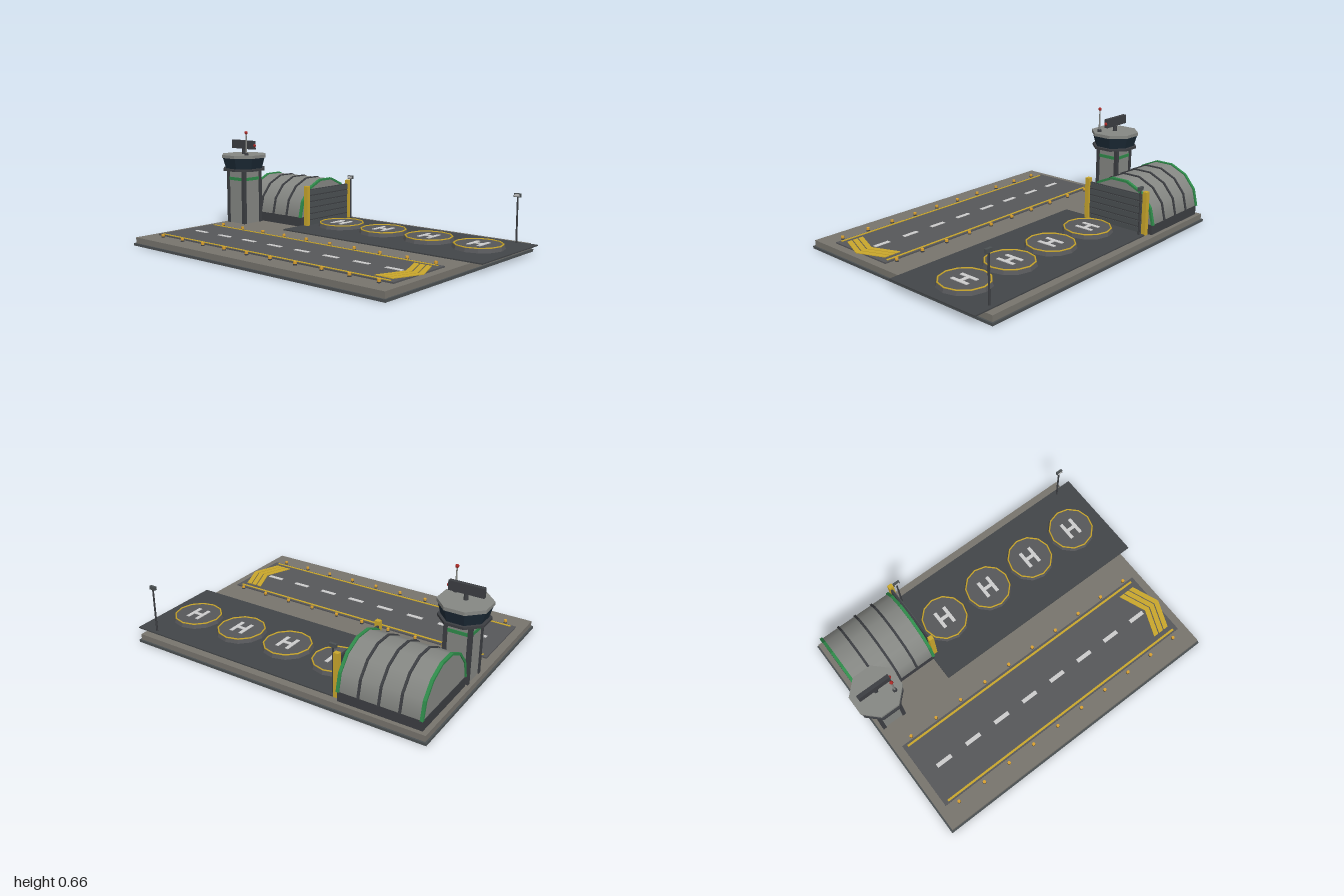
import * as THREE from 'three';

const mat = (color, extra = {}) => new THREE.MeshStandardMaterial({ color, ...extra });
const M = {
  concrete: mat(0x77746d), trim: mat(0x4b5052), asphalt: mat(0x56575a), apron: mat(0x424548),
  yellow: mat(0xc9a62c), white: mat(0xbfbfbf), dark: mat(0x3c3e42), grey: mat(0x858783),
  shell: mat(0x858783, { side: THREE.DoubleSide }), green: mat(0x2f8a4a), glass: mat(0x1c2a36, { flatShading: true }),
  red: mat(0xa82a26), lamp: mat(0xd9a030), roof: mat(0x858783, { flatShading: true }),
  plate: mat(0x3c3e42, { flatShading: true }), pad: mat(0x56575a, { flatShading: true }),
};

export function createModel() {
  const root = new THREE.Group();
  const group = (name, x = 0, y = 0, z = 0) => {
    const g = new THREE.Group();
    g.name = name;
    g.position.set(x, y, z);
    root.add(g);
    return g;
  };
  const add = (parent, name, geo, material, x = 0, y = 0, z = 0) => {
    const m = new THREE.Mesh(geo, material);
    m.name = name;
    m.position.set(x, y, z);
    parent.add(m);
    return m;
  };
  // Box given by its size and the centre of its bottom face
  const box = (parent, name, material, w, h, d, x, y, z) =>
    add(parent, name, new THREE.BoxGeometry(w, h, d), material, x, y + h / 2, z);
  const rod = (parent, name, material, rTop, rBottom, h, n, x, y, z) =>
    add(parent, name, new THREE.CylinderGeometry(rTop, rBottom, h, n), material, x, y + h / 2, z);

  // Ground slab
  const base = group('base', -0.015);
  box(base, 'baseTrim', M.trim, 1.915, 0.015, 1.435, 0, 0, 0);
  box(base, 'baseSlab', M.concrete, 1.895, 0.035, 1.415, 0, 0.015, 0);

  // Runway with its markings
  const runway = group('runway');
  box(runway, 'runwaySurface', M.asphalt, 1.795, 0.008, 0.44, -0.015, 0.05, 0.355);
  for (const z of [0.155, 0.56])
    box(runway, 'edgeLine', M.yellow, 1.74, 0.003, 0.013, -0.015, 0.058, z);
  for (let i = 0; i < 8; i++)
    box(runway, 'centreDash', M.white, 0.105, 0.003, 0.025, -0.765 + i * 0.213, 0.058, 0.358);
  const chevron = new THREE.Shape([
    [0, 0.168], [0.032, 0.168], [0.1, 0], [0.032, -0.168], [0, -0.168], [0.068, 0],
  ].map(([x, y]) => new THREE.Vector2(x, y)));
  const chevronGeo = new THREE.ExtrudeGeometry(chevron, { depth: 0.004, bevelEnabled: false }).rotateX(-Math.PI / 2);
  for (let i = 0; i < 3; i++) add(runway, 'chevron', chevronGeo, M.yellow, 0.73 + i * 0.039, 0.058, 0.358);

  // Runway lights
  for (let i = 0; i < 10; i++)
    for (const z of [0.118, 0.602]) {
      const light = group('runwayLight', -0.835 + i * 0.1835, 0.05, z);
      rod(light, 'lightBase', M.dark, 0.009, 0.011, 0.007, 8, 0, 0, 0);
      rod(light, 'lightLamp', M.lamp, 0.01, 0.01, 0.013, 8, 0, 0.007, 0);
    }

  // Apron and landing pads
  const apron = group('apron');
  box(apron, 'apronSurface', M.apron, 1.445, 0.007, 0.62, 0.2775, 0.05, -0.35);
  for (let i = 0; i < 4; i++) {
    const pad = group('landingPad', -0.235 + i * 0.3385, 0.057, -0.367);
    rod(pad, 'padDisc', M.pad, 0.145, 0.153, 0.023, 12, 0, 0, 0);
    const rim = new THREE.TorusGeometry(0.141, 0.005, 6, 12).rotateX(Math.PI / 2);
    add(pad, 'padRim', rim, M.yellow, 0, 0.024, 0);
    for (const s of [-1, 1]) box(pad, 'padMarkSide', M.white, 0.022, 0.004, 0.118, s * 0.034, 0.023, 0);
    box(pad, 'padMarkBar', M.white, 0.05, 0.004, 0.022, 0, 0.023, 0);
  }

  // Hangar: half-barrel roof along x on a low wall
  const hangar = group('hangar', -0.685, 0, -0.44);
  const archPoints = (rz, ry) => Array.from({ length: 8 }, (_, i) => {
    const a = (i * Math.PI) / 7;
    return new THREE.Vector2(Math.cos(a) * rz, Math.sin(a) * ry);
  });
  const arch = (name, material, x, width, outer, inner) => {
    const points = archPoints(outer, outer * 0.955);
    if (inner) points.push(...archPoints(inner, inner * 0.955).reverse());
    const geo = new THREE.ExtrudeGeometry(new THREE.Shape(points), { depth: width, bevelEnabled: false });
    geo.translate(0, 0, -width / 2).rotateY(Math.PI / 2);
    add(hangar, name, geo, material, x, 0.11, 0);
  };
  box(hangar, 'lowerWall', M.dark, 0.495, 0.06, 0.485, 0, 0.05, 0);
  const shell = new THREE.CylinderGeometry(0.244, 0.244, 0.48, 7, 1, true, 0, Math.PI);
  shell.rotateZ(Math.PI / 2).scale(1, 0.955, 1);
  add(hangar, 'barrelRoof', shell, M.shell, 0, 0.11, 0);
  for (const s of [-1, 1]) {
    arch('endWall', M.grey, s * 0.24, 0.01, 0.242);
    arch('endArch', M.green, s * 0.242, 0.018, 0.252, 0.238);
  }
  for (const x of [-0.12, 0, 0.12]) arch('roofRib', M.dark, x, 0.014, 0.251, 0.238);

  // Hangar door with slats, between two posts
  box(hangar, 'door', M.dark, 0.012, 0.24, 0.39, 0.264, 0.05, 0);
  for (let i = 0; i < 6; i++)
    box(hangar, 'doorSlat', M.trim, 0.01, 0.032, 0.385, 0.269, 0.055 + i * 0.04, 0);
  for (const z of [-0.207, 0.209])
    box(hangar, 'doorPost', M.yellow, 0.03, 0.265, 0.027, 0.27, 0.05, z);

  // Control tower shaft with corner posts
  const tower = group('controlTower', -0.86, 0, -0.098);
  box(tower, 'towerShaft', M.grey, 0.15, 0.35, 0.15, 0, 0.05, 0);
  for (const x of [-0.07, 0.07])
    for (const z of [-0.07, 0.07]) box(tower, 'cornerPost', M.dark, 0.023, 0.35, 0.023, x, 0.05, z);
  box(tower, 'towerBand', M.green, 0.158, 0.02, 0.118, 0, 0.335, 0);
  box(tower, 'towerBand', M.green, 0.118, 0.02, 0.158, 0, 0.335, 0);

  // Eight-sided cab, sized across the flats
  const octagon = (name, material, top, bottom, h, y) => {
    const k = 1 / Math.cos(Math.PI / 8);
    rod(tower, name, material, top * k, bottom * k, h, 8, 0, y, 0).rotation.y = Math.PI / 8;
  };
  octagon('cabFloor', M.plate, 0.134, 0.134, 0.015, 0.4);
  octagon('cabWindows', M.glass, 0.136, 0.118, 0.07, 0.415);
  octagon('cabRoof', M.roof, 0.141, 0.141, 0.02, 0.485);

  // Radar and aerial on the roof
  rod(tower, 'radarPedestal', M.dark, 0.011, 0.014, 0.037, 8, 0, 0.505, 0);
  box(tower, 'radarPanel', M.dark, 0.205, 0.056, 0.024, -0.002, 0.54, 0);
  const ball = new THREE.SphereGeometry(0.011, 10, 8);
  add(tower, 'radarLamp', ball, M.red, 0.1, 0.566, 0);
  rod(tower, 'aerialBase', M.dark, 0.012, 0.014, 0.015, 8, 0.087, 0.505, 0.06);
  rod(tower, 'aerial', M.grey, 0.004, 0.006, 0.135, 8, 0.087, 0.515, 0.06);
  add(tower, 'aerialLamp', ball, M.red, 0.087, 0.653, 0.06);

  // Floodlight masts
  for (const x of [-0.38, 0.876]) {
    const mast = group('floodlight', x, 0.055, -0.632);
    rod(mast, 'mastPole', M.dark, 0.005, 0.006, 0.28, 8, 0, 0, 0);
    box(mast, 'mastHead', M.trim, 0.042, 0.022, 0.016, 0, 0.272, 0.002);
    box(mast, 'mastLamp', M.white, 0.034, 0.014, 0.003, 0, 0.276, 0.01);
  }

  return root;
}
